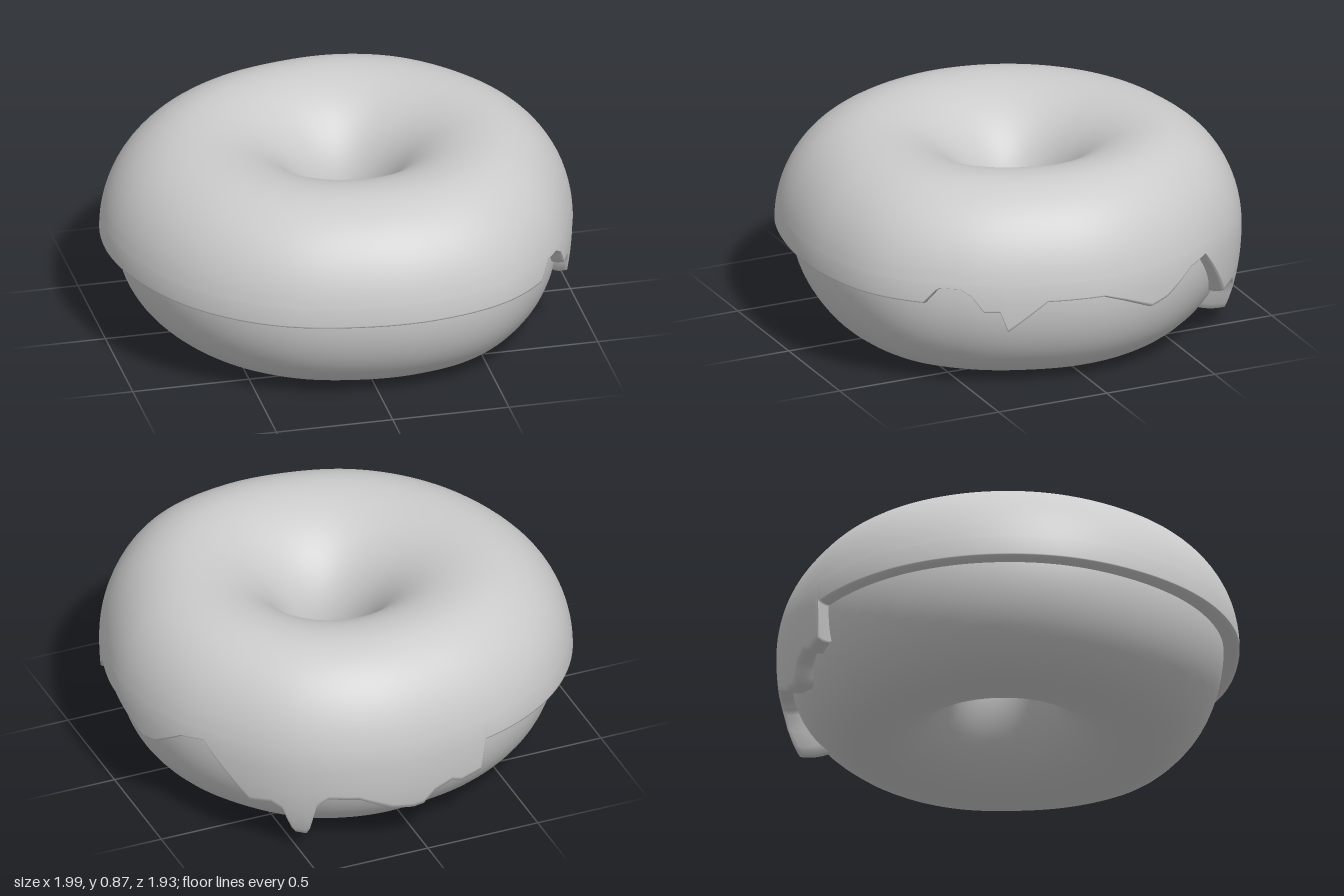
import * as THREE from 'three';

const CX = 0.04, CZ = -0.03; // centre of the hole
const MID = 0.42;            // height of the widest point
const SEGS = 360;
const { lerp, degToRad } = THREE.MathUtils;

// Outer radius of the icing every 20 degrees, counter-clockwise from +x
const OUTLINE = [0.955, 0.947, 0.937, 0.947, 0.942, 0.935, 0.965, 1.0, 1.025,
  1.037, 1.03, 1.025, 1.012, 0.99, 1.0, 1.016, 0.985, 0.953];

// Lower edge of the icing: [angle in degrees, height]
const EDGE = [
  [-48, 0.42], [-44.5, 0.49], [-39, 0.49], [-36, 0.46], [-33, 0.39], [-29, 0.39],
  [-27, 0.3], [-17, 0.43], [-2, 0.43], [4, 0.395], [12, 0.34], [17, 0.36],
  [26, 0.45], [33, 0.47], [46, 0.23], [52, 0.24], [55, 0.21], [57.5, 0.08], [61.5, 0.07],
  [64, 0.24], [67, 0.28], [75, 0.27], [84, 0.2], [90, 0.18], [93, 0.185],
  [96, 0.24], [101, 0.27], [104, 0.25], [110, 0.27], [111, 0.42],
];

// Smooth closed interpolation of the outline
function outerRadius(deg) {
  const f = (((deg % 360) + 360) % 360) / 20;
  const i = Math.floor(f), t = f - i, n = OUTLINE.length;
  const [a, b, c, d] = [-1, 0, 1, 2].map((k) => OUTLINE[(i + k + n) % n]);
  return b + 0.5 * t * (c - a + t * (2 * a - 5 * b + 4 * c - d + t * (3 * (b - c) + d - a)));
}

function edgeHeight(deg) {
  for (let i = 1; i < EDGE.length; i++) {
    const [a0, y0] = EDGE[i - 1], [a1, y1] = EDGE[i];
    if (deg >= a0 && deg <= a1) return lerp(y0, y1, (deg - a0) / (a1 - a0));
  }
  return 0.42;
}

// Ring section with its crest set slightly outwards; theta 0 is outside, PI is in the hole
function section(theta, inner, outer, halfHeight) {
  const crest = (inner + outer) / 2 + 0.035, c = Math.cos(theta);
  return [crest + c * (c > 0 ? outer - crest : crest - inner), MID + halfHeight * Math.sin(theta)];
}

// The icing overhangs the dough least on the dripping side
function doughAt(deg, theta) {
  const gap = 0.058 - 0.01 * Math.cos(degToRad(deg - 45));
  return section(theta, 0.162, outerRadius(deg) - gap, 0.42);
}

const edgeTheta = (deg) => Math.asin((edgeHeight(deg) - MID) / 0.445);

// Icing hugs the ring above the middle and hangs more steeply below it
function icingAt(deg, theta) {
  const outer = outerRadius(deg);
  const [r, y] = section(theta, 0.154, outer, 0.445);
  return [theta < 0 ? outer - 0.5 * (outer - r) : r, y];
}

// Skin swept around the hole from a profile(deg, t) giving [radius, height]
function sweep(name, profile, rows) {
  const pos = [], index = [];
  for (let i = 0; i < SEGS; i++) {
    const deg = i * 360 / SEGS - 180, a = degToRad(deg);
    for (let j = 0; j <= rows; j++) {
      const [r, y] = profile(deg, j / rows);
      const x = CX + r * Math.cos(a);
      pos.push(x, y * (1 + 0.012 * x), CZ - r * Math.sin(a));
      if (j === rows) continue;
      const p = i * (rows + 1) + j, q = ((i + 1) % SEGS) * (rows + 1) + j;
      index.push(p, p + 1, q, p + 1, q + 1, q);
    }
  }
  const geo = new THREE.BufferGeometry();
  geo.setAttribute('position', new THREE.Float32BufferAttribute(pos, 3));
  geo.setIndex(index);
  geo.computeVertexNormals();
  const mesh = new THREE.Mesh(geo, new THREE.MeshStandardMaterial({ color: 0xcccccc, side: THREE.DoubleSide }));
  mesh.name = name;
  return mesh;
}

export function createModel() {
  const group = new THREE.Group();
  group.name = 'doughnut';

  // Dough ring, its seam hidden in the hole
  group.add(sweep('dough', (deg, t) => doughAt(deg, Math.PI - t * 2 * Math.PI), 64));

  // Icing: over the top, down the drips, then a rounded lip back into the dough
  group.add(sweep('icing', (deg, t) => {
    const end = edgeTheta(deg);
    if (t <= 0.65) return icingAt(deg, lerp(Math.PI, 0.2, t / 0.65));
    if (t <= 0.9) return icingAt(deg, lerp(0.2, end, (t - 0.65) / 0.25));
    const [r, y] = icingAt(deg, end);
    const [rd] = doughAt(deg, Math.asin((y - MID) / 0.42));
    const s = (t - 0.9) / 0.1;
    return [lerp(r, rd - 0.02, s), y - 0.01 * Math.sin(Math.PI * s)];
  }, 60));
  return group;
}
